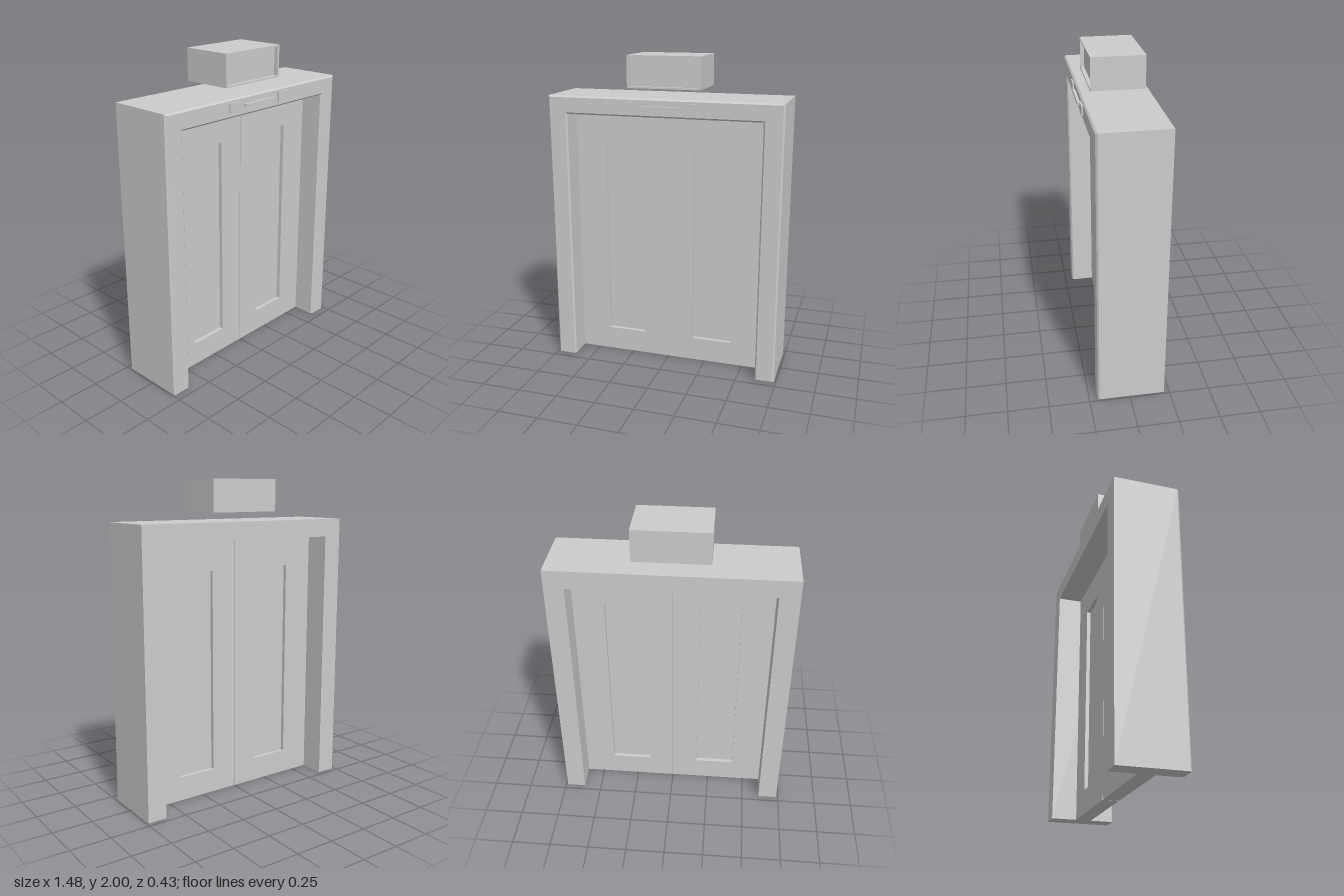
import * as THREE from 'three';

const material = new THREE.MeshStandardMaterial({ color: 0xcccccc, flatShading: true });

function add(parent, name, geometry, x = 0, y = 0, z = 0) {
  const mesh = new THREE.Mesh(geometry, material);
  mesh.name = name;
  mesh.position.set(x, y, z);
  parent.add(mesh);
  return mesh;
}

const box = (w, h, d) => new THREE.BoxGeometry(w, h, d);

// Rectangular plate with a rectangular hole; bounds are [x0, y0, x1, y1]
function rectPath(Type, [x0, y0, x1, y1]) {
  const p = new Type();
  p.moveTo(x0, y0);
  p.lineTo(x1, y0);
  p.lineTo(x1, y1);
  p.lineTo(x0, y1);
  p.closePath();
  return p;
}

function holedPlate(outer, hole, depth) {
  const shape = rectPath(THREE.Shape, outer);
  shape.holes.push(rectPath(THREE.Path, hole));
  return new THREE.ExtrudeGeometry(shape, { depth, bevelEnabled: false });
}

// Door surround: U-shaped block whose front edges are chamfered
function surroundGeometry() {
  const W = 0.738, H = 1.75, w = 0.615, h = 1.637, c = 0.01;
  const back = -0.217, front = 0.198;
  const shape = new THREE.Shape([
    [-W, 0], [-w, 0], [-w, h], [w, h], [w, 0], [W, 0], [W, H], [-W, H],
  ].map(([x, y]) => new THREE.Vector2(x, y)));
  const geo = new THREE.ExtrudeGeometry(shape, { depth: 2, steps: 2, bevelEnabled: false });
  const p = geo.attributes.position;
  for (let i = 0; i < p.count; i++) {
    let x = p.getX(i), y = p.getY(i);
    const layer = Math.round(p.getZ(i));
    if (layer === 2) {
      x += Math.sign(x) * (Math.abs(x) > 0.7 ? -c : c);
      if (y > 1.7) y -= c;
      else if (y > 1) y += c;
    }
    p.setXYZ(i, x, y, [back, front - c, front][layer]);
  }
  geo.computeVertexNormals();
  return geo;
}

export function createModel() {
  const group = new THREE.Group();
  group.name = 'elevatorDoorway';

  add(group, 'doorSurround', surroundGeometry());

  // Mirrored door leaves with a recessed panel on both faces
  for (const [side, s] of [['left', 1], ['right', -1]]) {
    const door = new THREE.Group();
    door.name = side + 'Door';
    group.add(door);
    const span = (a, b) => (s > 0 ? [a, b] : [-b, -a]);
    const [x0, x1] = span(0.002, 0.615);
    const [h0, h1] = span(0.165, 0.42);
    add(door, side + 'DoorLeaf',
      holedPlate([x0, 0, x1, 1.637], [h0, 0.154, h1, 1.448], 0.1), 0, 0, -0.055);
    add(door, side + 'DoorPanel', box(0.255, 1.294, 0.05), s * 0.2925, 0.801, -0.005);
    // Call indicator above the door
    add(group, side + 'Indicator', box(0.085, 0.06, 0.02), s * 0.2125, 1.699, 0.198);
  }

  add(group, 'indicatorBar', box(0.26, 0.018, 0.025), 0, 1.697, 0.2025);

  // Floating sign box with a recessed front
  const sign = new THREE.Group();
  sign.name = 'signBox';
  group.add(sign);
  add(sign, 'signBody', box(0.462, 0.196, 0.295), 0, 1.902, -0.0205);
  add(sign, 'signRim',
    holedPlate([-0.231, 1.804, 0.231, 2], [-0.216, 1.814, 0.216, 1.99], 0.025), 0, 0, 0.127);

  return group;
}
